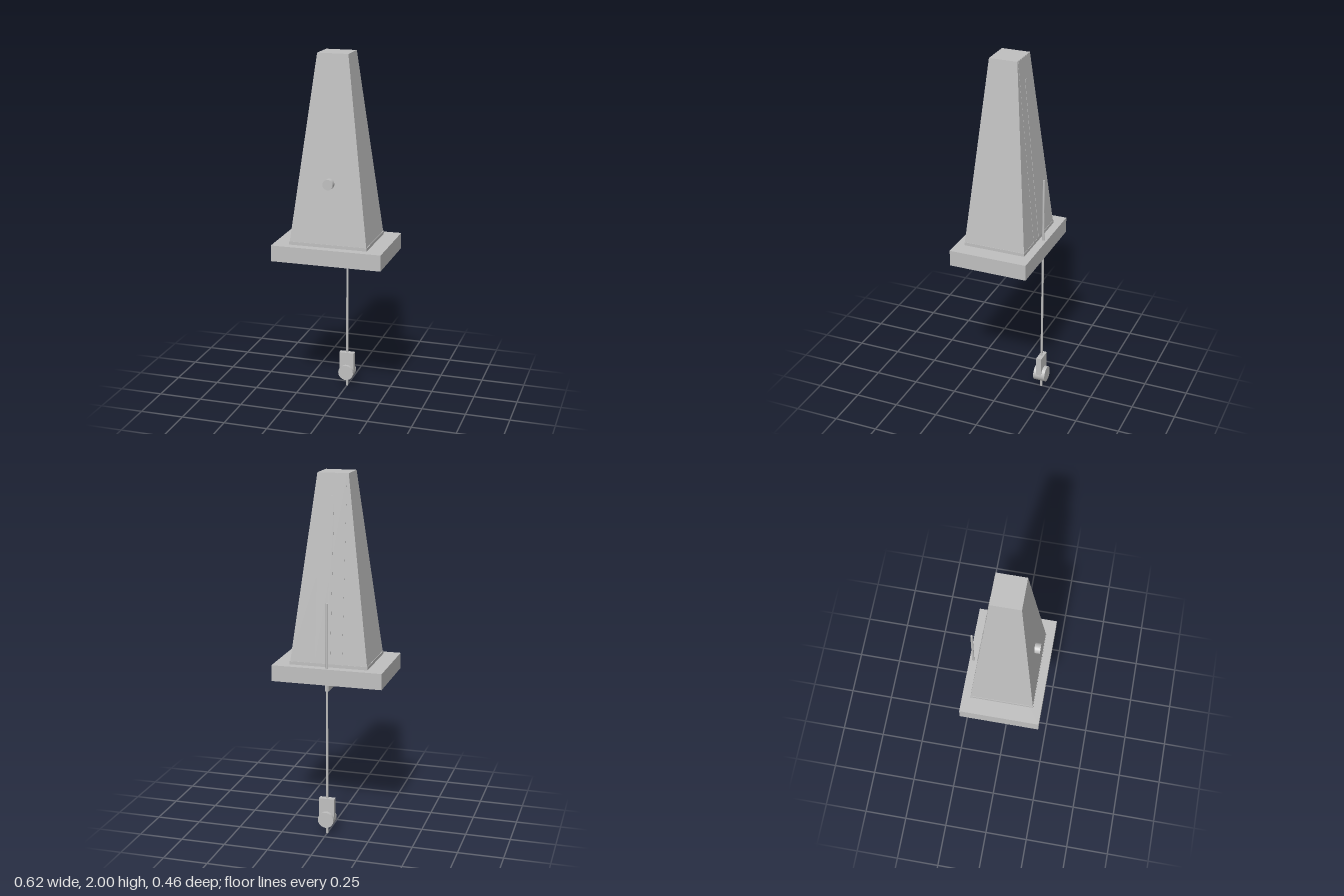
import * as THREE from 'three';

export function createModel() {
  const group = new THREE.Group();
  const grey = new THREE.MeshStandardMaterial({ color: 0xc0c0c0 });
  grey.name = 'light grey';

  function add(name, geometry) {
    const mesh = new THREE.Mesh(geometry, grey);
    mesh.name = name;
    group.add(mesh);
    return mesh;
  }
  // box given by its limits on each axis
  function box(name, x0, x1, y0, y1, z0, z1) {
    const g = new THREE.BoxGeometry(x1 - x0, y1 - y0, z1 - z0);
    g.translate((x0 + x1) / 2, (y0 + y1) / 2, (z0 + z1) / 2);
    return add(name, g);
  }
  // cylinder along z
  function disc(name, r, y, z0, z1) {
    const g = new THREE.CylinderGeometry(r, r, z1 - z0, 32);
    g.rotateX(Math.PI / 2);
    g.translate(0, y, (z0 + z1) / 2);
    return add(name, g);
  }
  // box whose top and bottom rectangles differ: [halfWidth, zBack, zFront]
  function taper(name, y0, y1, bottom, top) {
    const g = new THREE.BoxGeometry(2, 1, 1).toNonIndexed();
    const p = g.attributes.position;
    for (let i = 0; i < p.count; i++) {
      const up = p.getY(i) > 0;
      const [w, zb, zf] = up ? top : bottom;
      p.setXYZ(i, p.getX(i) * w, up ? y1 : y0, p.getZ(i) > 0 ? zf : zb);
    }
    g.computeVertexNormals();
    return add(name, g);
  }

  // plinth and tapered case
  box('base', -0.31, 0.31, 0.87, 0.96, -0.215, 0.228);
  box('caseSkirt', -0.22, 0.22, 0.955, 0.978, -0.17, 0.182);
  taper('case', 0.978, 2, [0.217, -0.168, 0.18], [0.086, -0.073, 0.085]);

  // shallow panel and centre strip lying on the sloping back
  taper('backPanel', 0.978, 1.998, [0.077, -0.169, -0.165], [0.077, -0.074, -0.07]);
  taper('scaleStrip', 0.978, 1.88, [0.01, -0.1705, -0.165], [0.01, -0.0865, -0.08]);

  // winding knob on the front
  disc('windingKnob', 0.029, 1.31, 0.14, 0.179);

  // escapement under the base
  box('pivotPlate', -0.065, 0.065, 0.857, 0.872, 0.055, 0.092);
  box('pivotShaft', -0.02, 0.02, 0.845, 0.872, -0.055, 0.085);
  box('pendulumArm', -0.01, 0.01, 0.83, 0.865, -0.195, 0.015);

  // pendulum with sliding weight
  const rod = new THREE.CylinderGeometry(0.0065, 0.0065, 1.32, 16);
  rod.translate(0, 0.66, -0.194);
  add('pendulumRod', rod);
  box('weightPlate', -0.044, 0.044, 0.09, 0.21, -0.209, -0.178);
  disc('weightDisc', 0.045, 0.09, -0.229, -0.16);

  return group;
}
